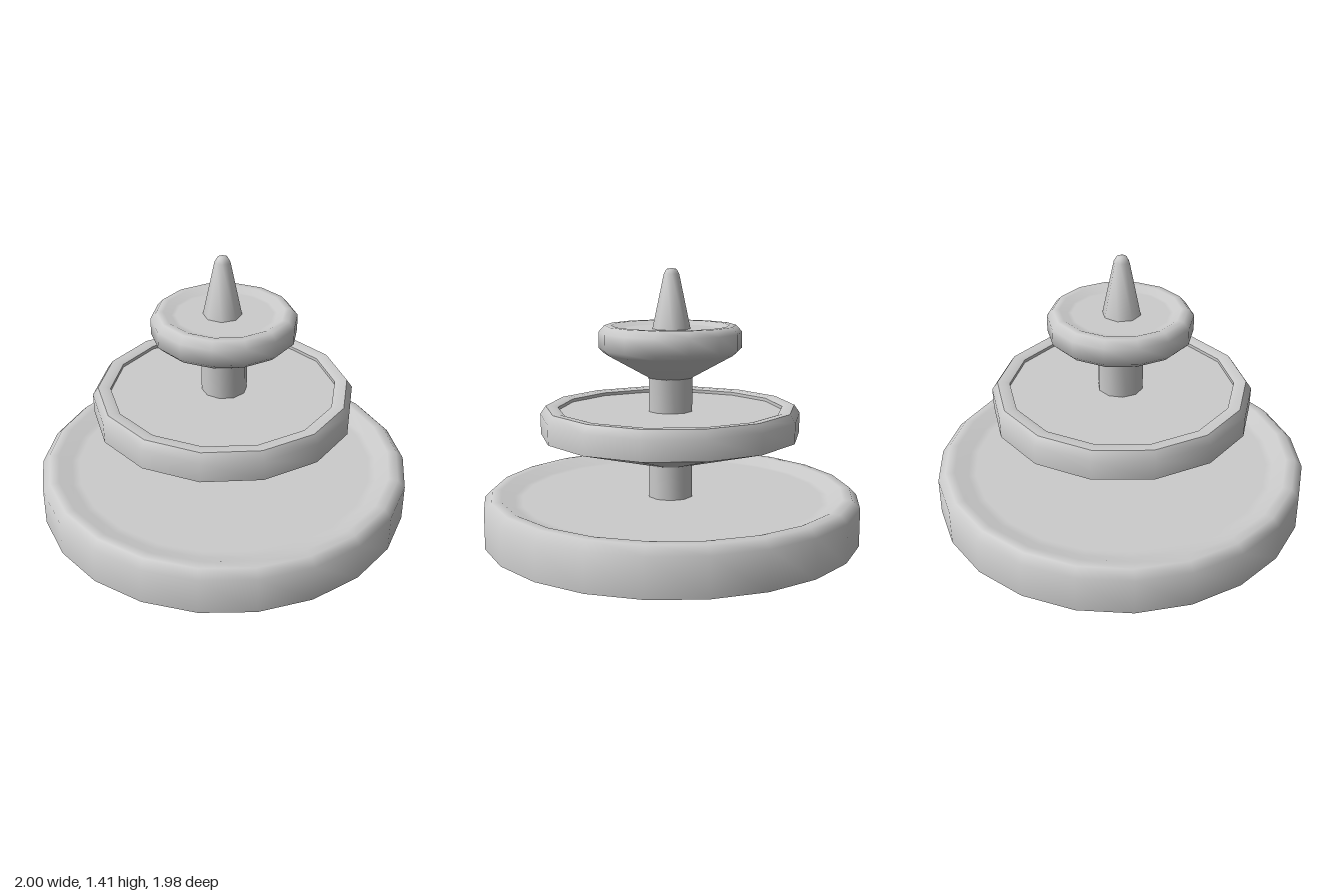
import * as THREE from 'three';
import { toCreasedNormals } from 'three/addons/utils/BufferGeometryUtils.js';

const material = new THREE.MeshStandardMaterial({ color: 0xcccccc, side: THREE.DoubleSide });

// Revolves [radius, height] pairs; the first corner lies at the start angle from +z.
function turned(name, profile, sides, start = Math.PI / 2) {
  const points = profile.map(([r, y]) => new THREE.Vector2(r, y));
  const lathe = new THREE.LatheGeometry(points, sides, start);
  const mesh = new THREE.Mesh(toCreasedNormals(lathe, THREE.MathUtils.degToRad(55)), material);
  mesh.name = name;
  return mesh;
}

export function createModel() {
  const fountain = new THREE.Group();
  fountain.name = 'fountain';

  // Ground basin: a thin shell with a shallow floor, open underneath
  const basin = turned('basin', [[1, 0], [1, 0.2], [0.96, 0.24], [0.91, 0.24], [0.84, 0.205],
    [0.8, 0.205], [0, 0.205]], 22);

  // Hollow column through both bowls
  const column = turned('column', [[0.12, 0.05], [0.12, 0.9]], 10, 0);

  // Wide middle bowl with a small step down to its floor
  const middleBowl = turned('middleBowl', [[0.116, 0.38], [0.688, 0.543], [0.69, 0.65], [0.66, 0.693],
    [0.62, 0.693], [0.595, 0.685], [0.595, 0.668], [0, 0.668]], 14);

  // Small upper bowl with a sloping inner rim
  const upperBowl = turned('upperBowl', [[0.116, 0.845], [0.35, 0.975], [0.376, 1.0], [0.376, 1.085],
    [0.345, 1.12], [0.31, 1.12], [0.27, 1.1], [0.25, 1.1], [0, 1.1]], 14);

  // Tapered spout with a blunt tip
  const spout = turned('spout', [[0.1, 1.1], [0.04, 1.385], [0.026, 1.41], [0, 1.415]], 8);

  // The upper tiers sit a hair off the basin's centre
  column.position.x = upperBowl.position.x = 0.006;
  middleBowl.position.set(0.006, 0, 0.007);
  spout.position.z = 0.007;

  fountain.add(basin, column, middleBowl, upperBowl, spout);
  return fountain;
}
